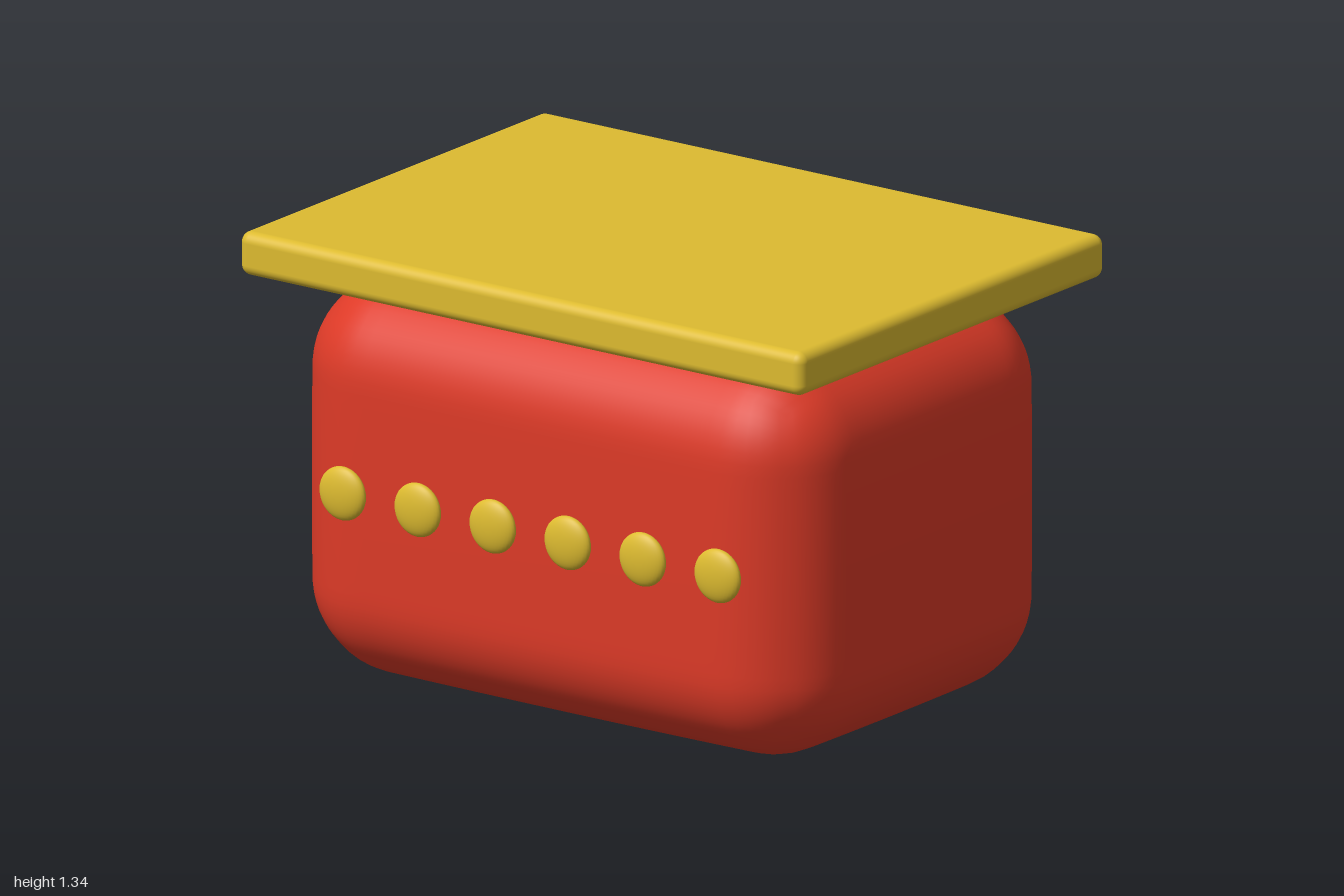
import * as THREE from 'three';
import { mergeVertices } from 'three/addons/utils/BufferGeometryUtils.js';
import { RoundedBoxGeometry } from 'three/addons/geometries/RoundedBoxGeometry.js';

// Box with rounded edges whose faces swell slightly towards their centres
function pillowBox(half, radius, bulge) {
  let geo = new THREE.BoxGeometry(half.x * 2, half.y * 2, half.z * 2, 40, 32, 32);
  geo.deleteAttribute('uv');
  geo.deleteAttribute('normal');
  geo = mergeVertices(geo, 1e-4);
  const pos = geo.attributes.position;
  const limit = half.clone().subScalar(radius + bulge);
  const low = limit.clone().negate();
  const p = new THREE.Vector3();
  const inner = new THREE.Vector3();
  const dir = new THREE.Vector3();
  for (let i = 0; i < pos.count; i++) {
    p.fromBufferAttribute(pos, i);
    const q = p.clone().divide(half);
    inner.copy(p).clamp(low, limit);
    dir.copy(p).sub(inner).normalize();
    const swell = bulge * (1 - q.x * q.x) + bulge * (1 - q.y * q.y) + bulge * (1 - q.z * q.z);
    p.copy(inner).addScaledVector(dir, radius + swell / 2);
    pos.setXYZ(i, p.x, p.y, p.z);
  }
  geo.computeVertexNormals();
  return geo;
}

export function createModel() {
  const model = new THREE.Group();
  const red = new THREE.MeshStandardMaterial({ color: 0xdd3a27 });
  red.name = 'red';
  const yellow = new THREE.MeshStandardMaterial({ color: 0xddbb30 });
  yellow.name = 'yellow';

  function add(name, geometry, material, x, y, z) {
    const mesh = new THREE.Mesh(geometry, material);
    mesh.name = name;
    mesh.position.set(x, y, z);
    model.add(mesh);
    return mesh;
  }

  // Soft rounded body
  add('body', pillowBox(new THREE.Vector3(0.93, 0.6, 0.665), 0.27, 0.012), red, 0, 0.6, 0);

  // Overhanging flat lid
  add('lid', new RoundedBoxGeometry(2, 0.13, 1.46, 5, 0.032), yellow, 0, 1.27, 0);

  // Row of flattened studs across the front
  const studGeometry = new THREE.SphereGeometry(0.08, 32, 20);
  for (let i = 0; i < 6; i++) {
    const stud = add('stud' + (i + 1), studGeometry, yellow, (i - 2.5) * 0.266, 0.603, 0.678);
    stud.scale.z = 0.36;
  }
  return model;
}
